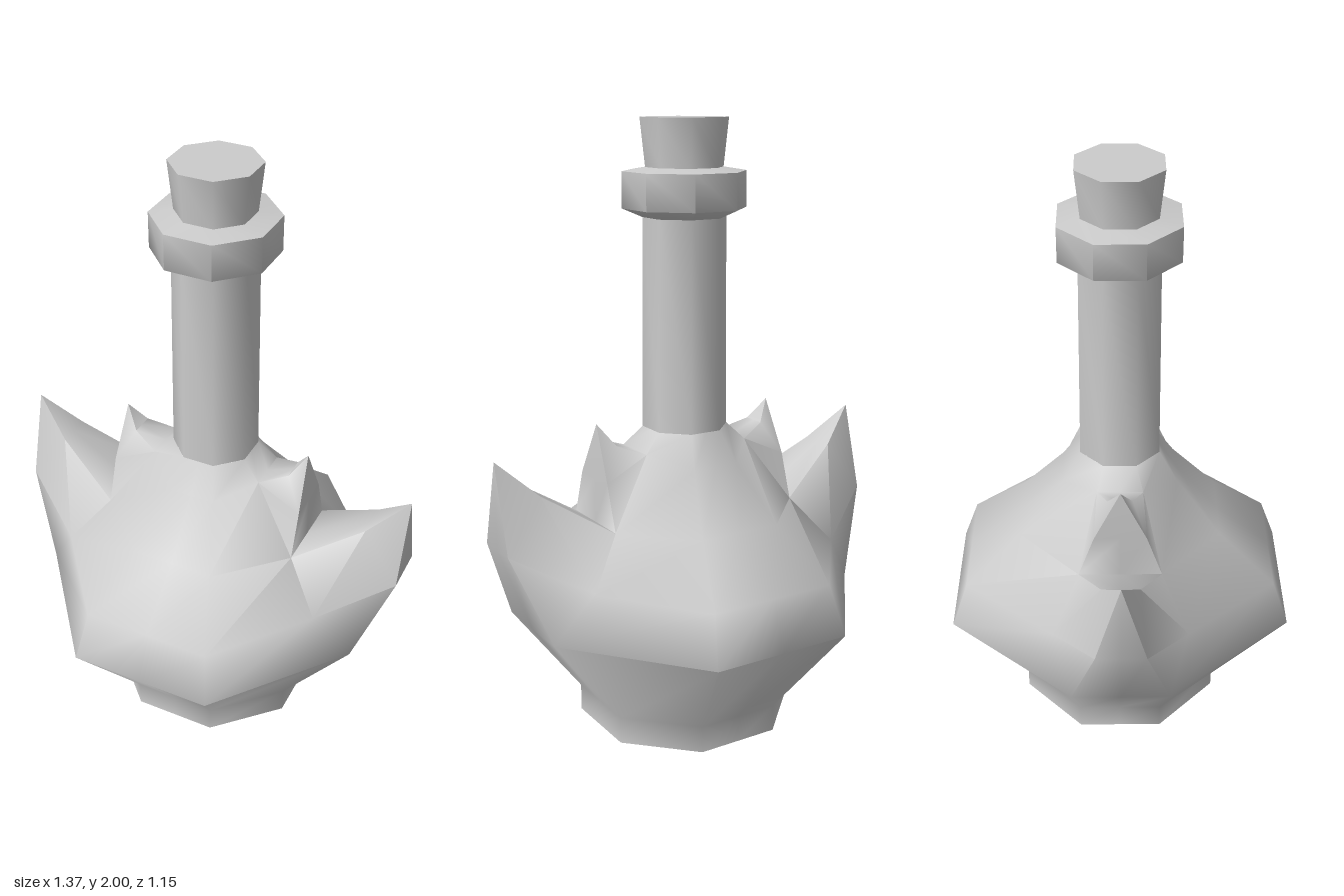
import * as THREE from 'three';
import { toCreasedNormals } from 'three/addons/utils/BufferGeometryUtils.js';

const CREASE = 1.2;
const material = new THREE.MeshStandardMaterial({ color: 0xcccccc });

// Mirrors quarter-model polygons (+x, +z) into all four quarters
function mirroredGeometry(polygons) {
  const positions = [];
  for (const sx of [1, -1]) for (const sz of [1, -1]) {
    for (const poly of polygons) {
      const p = poly.map(([x, y, z]) => [x * sx, y, z * sz]);
      if (sx * sz < 0) p.reverse();
      for (let i = 1; i < p.length - 1; i++) positions.push(...p[0], ...p[i], ...p[i + 1]);
    }
  }
  const geo = new THREE.BufferGeometry();
  geo.setAttribute('position', new THREE.Float32BufferAttribute(positions, 3));
  return toCreasedNormals(geo, CREASE);
}

// Eight-sided turned part; profile gives [half width across flats, height]
function octagonal(name, profile) {
  const points = profile.map(([r, y]) => new THREE.Vector2(r / Math.cos(Math.PI / 8), y));
  const geo = new THREE.LatheGeometry(points, 8, Math.PI / 8);
  const mesh = new THREE.Mesh(toCreasedNormals(geo, CREASE), material);
  mesh.name = name;
  return mesh;
}

function bottleBody() {
  // Front corner and side corner of each octagonal ring, bottom to top
  const front = [[.14, 0, .335], [.14, .09, .335], [.24, .41, .575], [.215, .57, .52],
    [.14, .73, .335], [.08, .91, .19], [.054, 1.01, .13]];
  const side = [[.335, 0, .14], [.335, .09, .14], [.575, .41, .16], [.46, .58, .22],
    [.34, .73, .135], [.19, .95, .075], [.13, 1.01, .054]];
  const midX = ([, y, z]) => [0, y, z];
  const midZ = ([x, y]) => [x, y, 0];
  const faces = [];

  // Shell: front panel and diagonal panel
  for (let i = 0; i < 6; i++) {
    faces.push([midX(front[i]), front[i], front[i + 1], midX(front[i + 1])]);
    faces.push([front[i], side[i], side[i + 1], front[i + 1]]);
  }
  // Side panels below the outer spike and above the inner spike
  for (const i of [0, 1, 5]) {
    faces.push([side[i], midZ(side[i]), midZ(side[i + 1]), side[i + 1]]);
  }
  // Underside
  faces.push([[0, 0, 0], midZ(side[0]), side[0], front[0], midX(front[0])]);

  // A pointed spike rising from the shell: outer wall, flank and sloping top
  function spike(low, shoulder, flank, inner, tip, ridge) {
    faces.push([low, midZ(low), midZ(shoulder), shoulder], [shoulder, midZ(shoulder), tip]);
    faces.push([low, shoulder, flank], [flank, shoulder, ridge], [shoulder, tip, ridge]);
    if (inner !== flank) faces.push([flank, ridge, inner]);
    faces.push([tip, midZ(ridge), ridge], [inner, ridge, midZ(ridge), midZ(inner)]);
  }
  // Outer spike
  spike(side[2], [.685, .7, .08], side[3], side[4], [.685, .985, 0], [.56, .87, .06]);
  // Inner spike
  spike(side[4], [.34, .88, .085], side[5], side[5], [.33, 1.055, 0], [.28, .985, .04]);

  const mesh = new THREE.Mesh(mirroredGeometry(faces), material);
  mesh.name = 'spikedBody';
  return mesh;
}

export function createModel() {
  const model = new THREE.Group();
  model.name = 'spikedBottle';
  model.add(bottleBody());
  model.add(octagonal('neck', [[.13, 1.01], [.125, 1.7]]));
  model.add(octagonal('collar', [[.12, 1.69], [.185, 1.72], [.185, 1.835], [.11, 1.848]]));
  model.add(octagonal('stopper', [[.115, 1.84], [.131, 2], [0, 2]]));
  return model;
}
